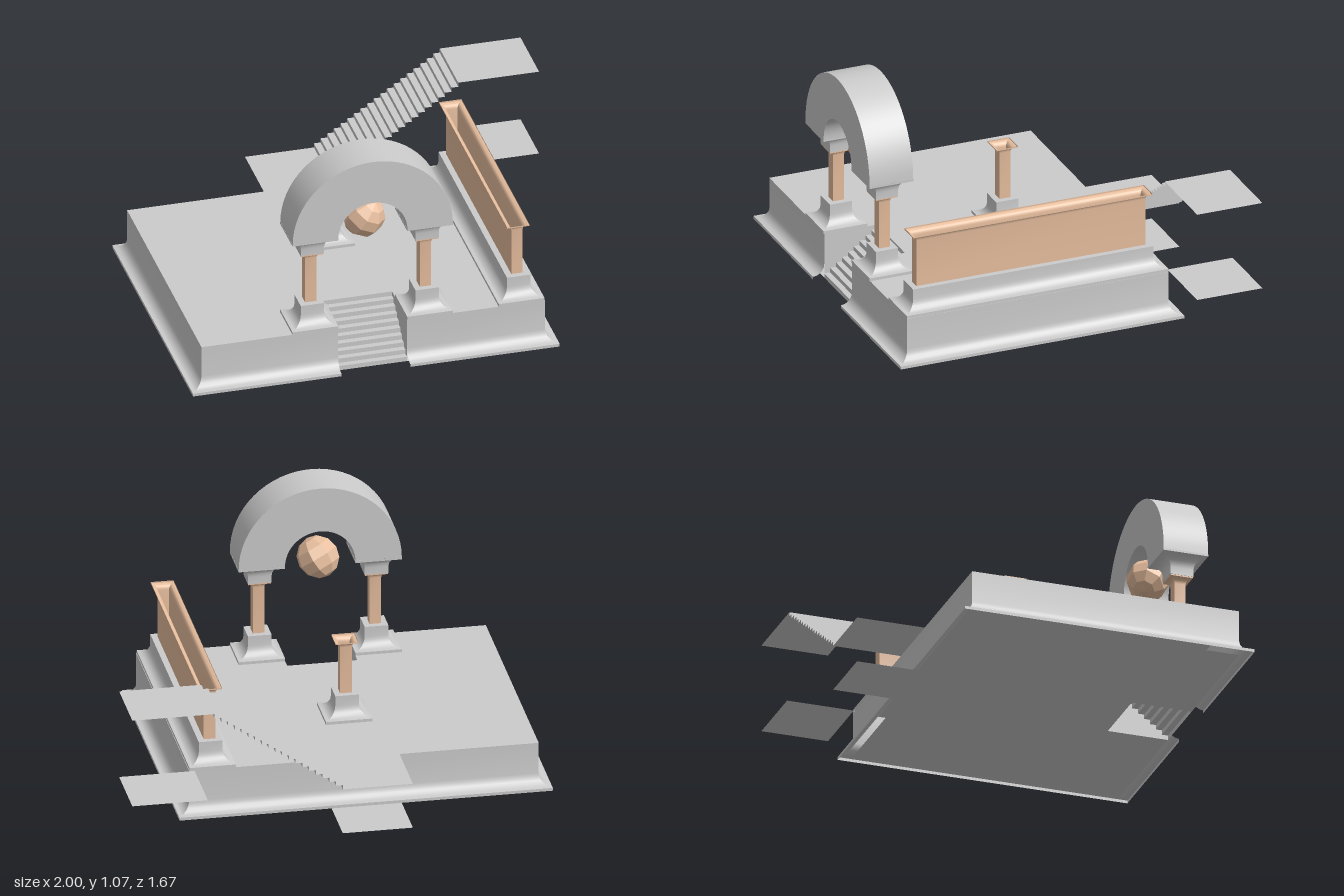
import * as THREE from 'three';
import { toCreasedNormals } from 'three/addons/utils/BufferGeometryUtils.js';

const stone = new THREE.MeshStandardMaterial({ color: 0xcccccc, side: THREE.DoubleSide });
const clay = new THREE.MeshStandardMaterial({ color: 0xe8bf9f, side: THREE.DoubleSide });
const CREASE = Math.PI / 6;

// Main dimensions
const FLOOR = 0.22, PEDESTAL = 0.335, SHAFT = 0.597, SPRING = 0.695;
const X0 = -0.945, X1 = 0.675, Z0 = -0.51, Z1 = 0.78; // platform walls
const S0 = -0.3, S1 = 0.025, SZ = 0.49;               // front stair notch
const MID = (S0 + S1) / 2;

function add(parent, name, geometry, material = stone) {
  const mesh = new THREE.Mesh(geometry, material);
  mesh.name = name;
  parent.add(mesh);
  return mesh;
}

// Profile [offset, y]: plain wall with a lip and a concave flare at one end
function flare(y0, y1, r, lip, atTop = false) {
  const points = [[r, 0], [r, lip]];
  for (let i = 1; i <= 5; i++) {
    const t = (i / 5) * Math.PI / 2;
    points.push([r - r * Math.sin(t), lip + r - r * Math.cos(t)]);
  }
  points.push([0, y1 - y0]);
  return atTop ? points.reverse().map(([d, y]) => [d, y1 - y]) : points.map(([d, y]) => [d, y0 + y]);
}

// Sweeps a profile along a path of [x, z, mitreX, mitreZ]
function sweep(path, profile) {
  const positions = [], index = [];
  for (const [x, z, mx, mz] of path)
    for (const [d, y] of profile) positions.push(x + mx * d, y, z + mz * d);
  const n = profile.length;
  for (let i = 0; i < path.length - 1; i++)
    for (let j = 0; j < n - 1; j++) {
      const a = i * n + j, b = a + n;
      index.push(a, b, b + 1, a, b + 1, a + 1);
    }
  const geometry = new THREE.BufferGeometry();
  geometry.setAttribute('position', new THREE.Float32BufferAttribute(positions, 3));
  geometry.setIndex(index);
  return toCreasedNormals(geometry, CREASE);
}

function rectPath(x, z, hx, hz) {
  return [[-1, 1], [1, 1], [1, -1], [-1, -1], [-1, 1]]
    .map(([sx, sz]) => [x + sx * hx, z + sz * hz, sx, sz]);
}

// Thin horizontal rectangle
function sheet(x0, x1, z0, z1, y) {
  return new THREE.PlaneGeometry(x1 - x0, z1 - z0).rotateX(-Math.PI / 2)
    .translate((x0 + x1) / 2, y, (z0 + z1) / 2);
}

// Open flight of risers and treads climbing along +x from the origin, width along z
function flight(steps, run, rise, width) {
  const positions = [], index = [];
  const points = [[0, 0]];
  for (let i = 0; i < steps; i++)
    points.push([(i * run) / steps, ((i + 1) * rise) / steps], [((i + 1) * run) / steps, ((i + 1) * rise) / steps]);
  points.forEach(([x, y], i) => {
    positions.push(x, y, 0, x, y, width);
    if (i) index.push(2 * i - 2, 2 * i - 1, 2 * i + 1, 2 * i - 2, 2 * i + 1, 2 * i);
  });
  const geometry = new THREE.BufferGeometry();
  geometry.setAttribute('position', new THREE.Float32BufferAttribute(positions, 3));
  geometry.setIndex(index);
  return toCreasedNormals(geometry, CREASE);
}

// Flared pedestal carrying a hollow shaft with a flared top
function post(parent, name, x, z, halfLength = 0) {
  const group = new THREE.Group();
  group.name = name;
  parent.add(group);
  const hz = halfLength;
  add(group, 'pedestal', sweep(rectPath(x, z, 0.055, hz + 0.055), flare(FLOOR, PEDESTAL, 0.053, 0.014)));
  add(group, 'pedestalTop', sheet(x - 0.055, x + 0.055, z - hz - 0.055, z + hz + 0.055, PEDESTAL));
  add(group, 'shaft', sweep(rectPath(x, z, 0.027, hz + 0.027), flare(PEDESTAL, SHAFT, 0.026, 0.006, true)), clay);
  return group;
}

function platform(parent) {
  const group = new THREE.Group();
  group.name = 'platform';
  parent.add(group);

  // Outer wall, open where the front stairs cut in
  const path = [[S1, Z1, 0, 1], [X1, Z1, 1, 1], [X1, Z0, 1, -1], [X0, Z0, -1, -1], [X0, Z1, -1, 1], [S0, Z1, 0, 1]];
  add(group, 'wall', sweep(path, flare(0, FLOOR, 0.055, 0.014)));

  // Floor and underside share the notched outline
  const outline = [[X0, Z0], [X1, Z0], [X1, Z1], [S1, Z1], [S1, SZ], [S0, SZ], [S0, Z1], [X0, Z1]];
  const shape = new THREE.Shape(outline.map(([x, z]) => new THREE.Vector2(x, -z)));
  add(group, 'floor', new THREE.ShapeGeometry(shape).rotateX(-Math.PI / 2)).position.y = FLOOR;
  const down = new THREE.Shape(outline.map(([x, z]) => new THREE.Vector2(x, z)));
  add(group, 'underside', new THREE.ShapeGeometry(down).rotateX(Math.PI / 2));

  // Notch sides
  for (const [x, turn] of [[S0, 1], [S1, -1]])
    add(group, 'notchSide', new THREE.PlaneGeometry(Z1 - SZ, FLOOR).rotateY(turn * Math.PI / 2))
      .position.set(x, FLOOR / 2, (Z1 + SZ) / 2);
}

function stairs(parent) {
  const front = add(parent, 'frontStairs', flight(10, Z1 - SZ, FLOOR, S1 - S0));
  front.rotation.y = Math.PI / 2; // climbs towards -z
  front.position.set(S0, 0, Z1);

  const zA = -0.837, zB = -0.515, xTop = 0.65, yTop = 0.65;
  add(parent, 'backStairs', flight(20, xTop - S1, yTop - FLOOR, zB - zA)).position.set(S1, FLOOR, zA);

  // Landings, each with a matching sheet one level below
  for (const y of [0, FLOOR]) add(parent, 'lowerLanding', sheet(S0, S1, zA, y ? Z0 : zB, y));
  for (const y of [FLOOR, yTop]) add(parent, 'upperLanding', sheet(xTop, 1, zA, zB, y));
}

function archway(parent) {
  const group = new THREE.Group();
  group.name = 'archway';
  parent.add(group);
  const z = 0.675, outer = 0.378, inner = 0.163;

  // Columns with upturned capitals
  for (const side of [-1, 1]) {
    const x = MID + side * (outer + inner) / 2;
    const column = post(group, side < 0 ? 'rightColumn' : 'leftColumn', x, z);
    add(column, 'capital', sweep(rectPath(x, z, 0.055, 0.055), flare(SHAFT, SPRING, 0.053, 0.01, true)));
    add(column, 'capitalBase', sheet(x - 0.055, x + 0.055, z - 0.055, z + 0.055, SHAFT));
  }

  // Half-ring arch
  const shape = new THREE.Shape();
  shape.absarc(0, 0, outer, 0, Math.PI, false);
  shape.absarc(0, 0, inner, Math.PI, 0, true);
  const ring = new THREE.ExtrudeGeometry(shape, { depth: 0.215, bevelEnabled: false, curveSegments: 16 });
  add(group, 'arch', toCreasedNormals(ring, CREASE)).position.set(MID, SPRING, z - 0.107);
}

export function createModel() {
  const model = new THREE.Group();
  model.name = 'terrace';
  platform(model);
  stairs(model);
  archway(model);
  post(model, 'freePost', MID, -0.033);
  post(model, 'longWall', 0.565, (Z0 + Z1) / 2, 0.538);

  // Faceted ball floating under the arch
  const facets = clay.clone();
  facets.flatShading = true;
  const ball = add(model, 'ball', new THREE.SphereGeometry(0.1, 8, 6), facets);
  ball.position.set(MID, 0.705, 0.625);
  ball.rotation.set(0.6, 0.3, -0.5);
  return model;
}
